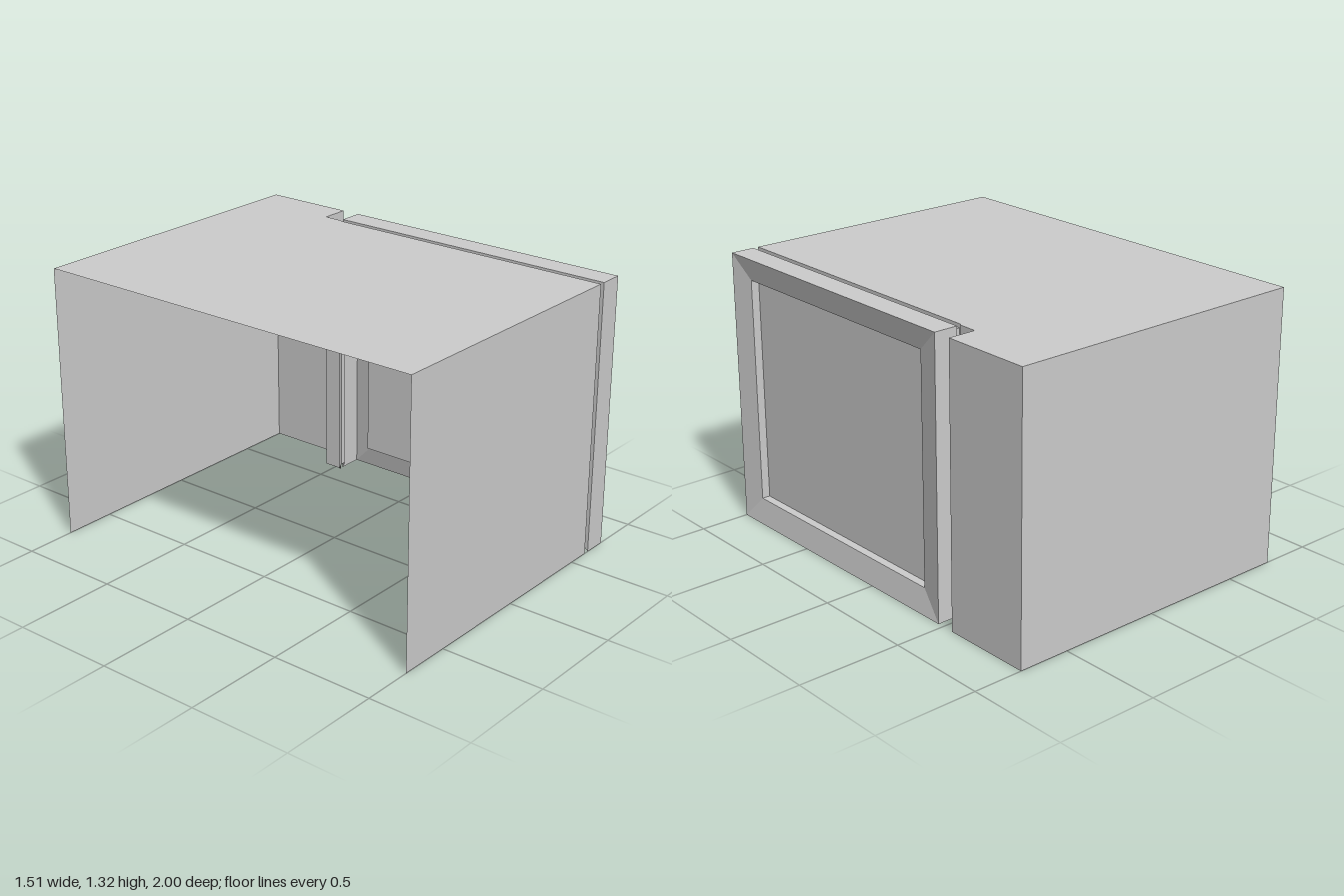
import * as THREE from 'three';
import { mergeGeometries } from 'three/addons/utils/BufferGeometryUtils.js';

const H = 1.32, W = 0.755, SEAM_IN = 0.612, SEAM_OUT = 0.638, DOOR_END = -0.47;

// flat four-cornered face, corners counter-clockwise seen from outside
function quad(a, b, c, d) {
  const g = new THREE.BufferGeometry();
  g.setAttribute('position', new THREE.Float32BufferAttribute([a, b, c, a, c, d].flat(), 3));
  g.computeVertexNormals();
  return g;
}

// upright walls along a path of [x, z] points
function walls(path) {
  return mergeGeometries(path.slice(1).map(([x, z], i) => {
    const [px, pz] = path[i];
    return quad([px, 0, pz], [x, 0, z], [x, H, z], [px, H, pz]);
  }));
}

// horizontal sheet with an [x, z] outline
function sheet(points, y) {
  const shape = new THREE.Shape(points.map(([x, z]) => new THREE.Vector2(x, -z)));
  const g = new THREE.ShapeGeometry(shape);
  g.rotateX(-Math.PI / 2);
  g.translate(0, y, 0);
  return g;
}

// rectangle facing +x
function rect(x, y0, y1, zFront, zBack) {
  return [[x, y0, zFront], [x, y0, zBack], [x, y1, zBack], [x, y1, zFront]];
}

// band of four faces between two rectangles
function band(outer, inner) {
  return mergeGeometries(outer.map((p, i) => {
    const j = (i + 1) % 4;
    return quad(p, outer[j], inner[j], inner[i]);
  }));
}

export function createModel() {
  const model = new THREE.Group();
  model.name = 'cabinet';
  const grey = new THREE.MeshStandardMaterial({ color: 0xcccccc, side: THREE.DoubleSide });
  grey.name = 'light grey';
  const add = (parent, name, geometry) => {
    const mesh = new THREE.Mesh(geometry, grey);
    mesh.name = name;
    parent.add(mesh);
  };

  // open shell: no floor and no wall on the -x side
  const body = new THREE.Group();
  body.name = 'body';
  model.add(body);
  const side = [[SEAM_IN, DOOR_END + 0.01], [0.62, DOOR_END], [0.62, -0.56], [W, -0.56], [W, -1], [-W, -1]];
  add(body, 'topPanel', sheet([[-W, 1], [SEAM_IN, 1], ...side], H));
  add(body, 'frontWall', walls([[-W, 1], [SEAM_IN, 1]]));
  add(body, 'rearWalls', walls(side));

  // door with a sloped frame and a sunken panel
  const door = new THREE.Group();
  door.name = 'door';
  model.add(door);
  const outer = rect(W, 0, H, 1, DOOR_END);
  const lip = rect(W - 0.022, 0.12, 1.21, 0.885, -0.35);
  const panel = rect(W - 0.062, 0.12, 1.21, 0.885, -0.35);
  add(door, 'doorFrame', band(outer, lip));
  add(door, 'panelRim', band(lip, panel));
  add(door, 'doorPanel', quad(...panel));
  add(door, 'doorTop', sheet([[SEAM_OUT, 1], [W, 1], [W, DOOR_END], [SEAM_OUT, DOOR_END]], H));
  add(door, 'doorFrontEdge', walls([[SEAM_OUT, 1], [W, 1]]));
  add(door, 'doorRearEdge', walls([[W, DOOR_END], [SEAM_OUT, DOOR_END]]));

  // shallow groove joining door and body along front, top and rear
  const rim = [[0, 1], [H, 1], [H, DOOR_END], [0, DOOR_END]];
  const bed = [[0.03, 0.97], [H - 0.018, 0.97], [H - 0.018, -0.455], [0.03, -0.455]];
  const faces = [];
  for (let i = 0; i < 3; i++) {
    const [a, b, c, d] = [bed[i], bed[i + 1], rim[i], rim[i + 1]];
    faces.push(quad([SEAM_IN, ...a], [SEAM_OUT, ...a], [SEAM_OUT, ...b], [SEAM_IN, ...b]));
    faces.push(quad([SEAM_IN, ...c], [SEAM_IN, ...a], [SEAM_IN, ...b], [SEAM_IN, ...d]));
    faces.push(quad([SEAM_OUT, ...a], [SEAM_OUT, ...c], [SEAM_OUT, ...d], [SEAM_OUT, ...b]));
  }
  add(model, 'doorSeam', mergeGeometries(faces));

  return model;
}
